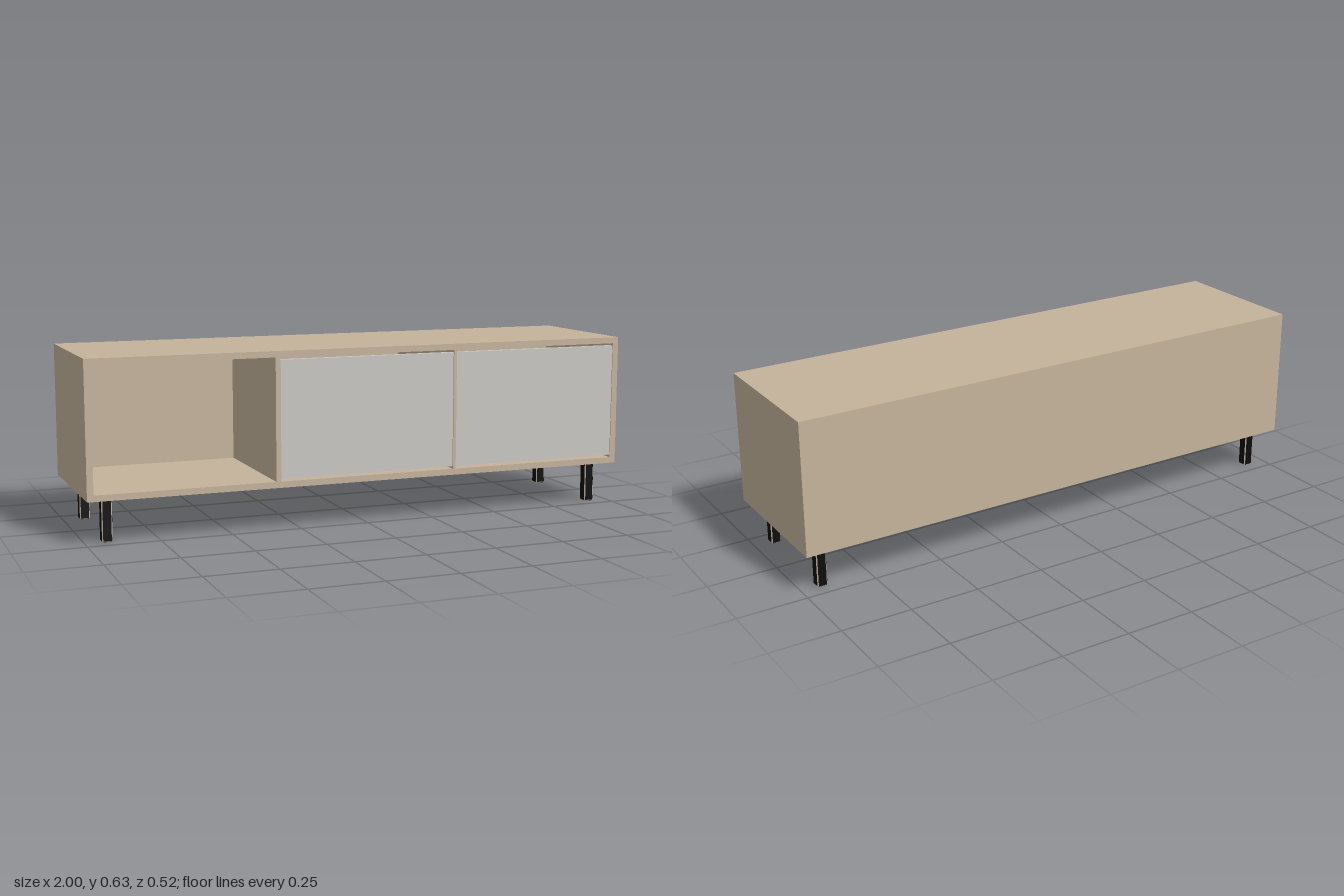
import * as THREE from 'three';
import { ConvexGeometry } from 'three/addons/geometries/ConvexGeometry.js';

export function createModel() {
  const group = new THREE.Group();
  const material = (name, color) => {
    const m = new THREE.MeshStandardMaterial({ color });
    m.name = name;
    return m;
  };
  const wood = material('pale wood', 0xc4b39b);
  const grey = material('door grey', 0xc8c7c3);
  const black = material('leg black', 0x0d0d0d);

  // Box given by its limits on each axis
  const box = (name, mat, [x0, x1], [y0, y1], [z0, z1], parent = group) => {
    const mesh = new THREE.Mesh(new THREE.BoxGeometry(x1 - x0, y1 - y0, z1 - z0), mat);
    mesh.position.set((x0 + x1) / 2, (y0 + y1) / 2, (z0 + z1) / 2);
    mesh.name = name;
    parent.add(mesh);
  };

  const bottom = 0.152, top = 0.626, t = 0.022;
  const back = -0.262, front = 0.261;
  const inner = [bottom + t, top - t];

  // Carcass
  box('topPanel', wood, [-1, 1], [top - t, top], [back + t, front]);
  box('bottomPanel', wood, [-1, 1], [bottom, bottom + t], [back + t, front]);
  box('backPanel', wood, [-1, 1], [bottom, top], [back, back + t]);
  for (const s of [-1, 1]) {
    const xs = s < 0 ? [-1, -1 + t] : [1 - t, 1];
    box(s < 0 ? 'rightSide' : 'leftSide', wood, xs, inner, [back + t, front]);
  }
  // Upright dividers between the three bays
  box('openBayDivider', wood, [-0.345, -0.327], inner, [back + t, 0.262]);
  box('doorDivider', wood, [0.325, 0.336], inner, [back + t, 0.262]);

  // Flat doors with a shadow gap above and below
  const doorY = [inner[0] + 0.009, inner[1] - 0.009];
  box('middleDoor', grey, [-0.327, 0.325], doorY, [0.238, 0.258]);
  box('leftDoor', grey, [0.336, 1 - t], doorY, [0.238, 0.258]);

  // Square legs: black faces with pale chamfered edges
  const w = 0.0185, h = bottom / 2, c = 0.004;
  const corners = [];
  for (const x of [-1, 1]) for (const y of [-1, 1]) for (const z of [-1, 1]) {
    const e = 0.0004;
    corners.push(
      new THREE.Vector3(x * (w - e), y * (h - c), z * (w - c)),
      new THREE.Vector3(x * (w - c), y * (h - e), z * (w - c)),
      new THREE.Vector3(x * (w - c), y * (h - c), z * (w - e)));
  }
  const chamfer = new ConvexGeometry(corners);
  for (const x of [-0.924, 0.924]) for (const z of [-0.187, 0.189]) {
    const leg = new THREE.Group();
    leg.name = (z > 0 ? 'front' : 'back') + (x > 0 ? 'LeftLeg' : 'RightLeg');
    leg.position.set(x, h, z);
    const edges = new THREE.Mesh(chamfer, wood);
    edges.name = 'legEdges';
    leg.add(edges);
    const full = [-w, w], narrow = [c - w, w - c], tall = [-h, h], short = [c - h, h - c];
    box('legSideFaces', black, full, short, narrow, leg);
    box('legFrontFaces', black, narrow, short, full, leg);
    box('legEndFaces', black, narrow, tall, narrow, leg);
    group.add(leg);
  }
  return group;
}
